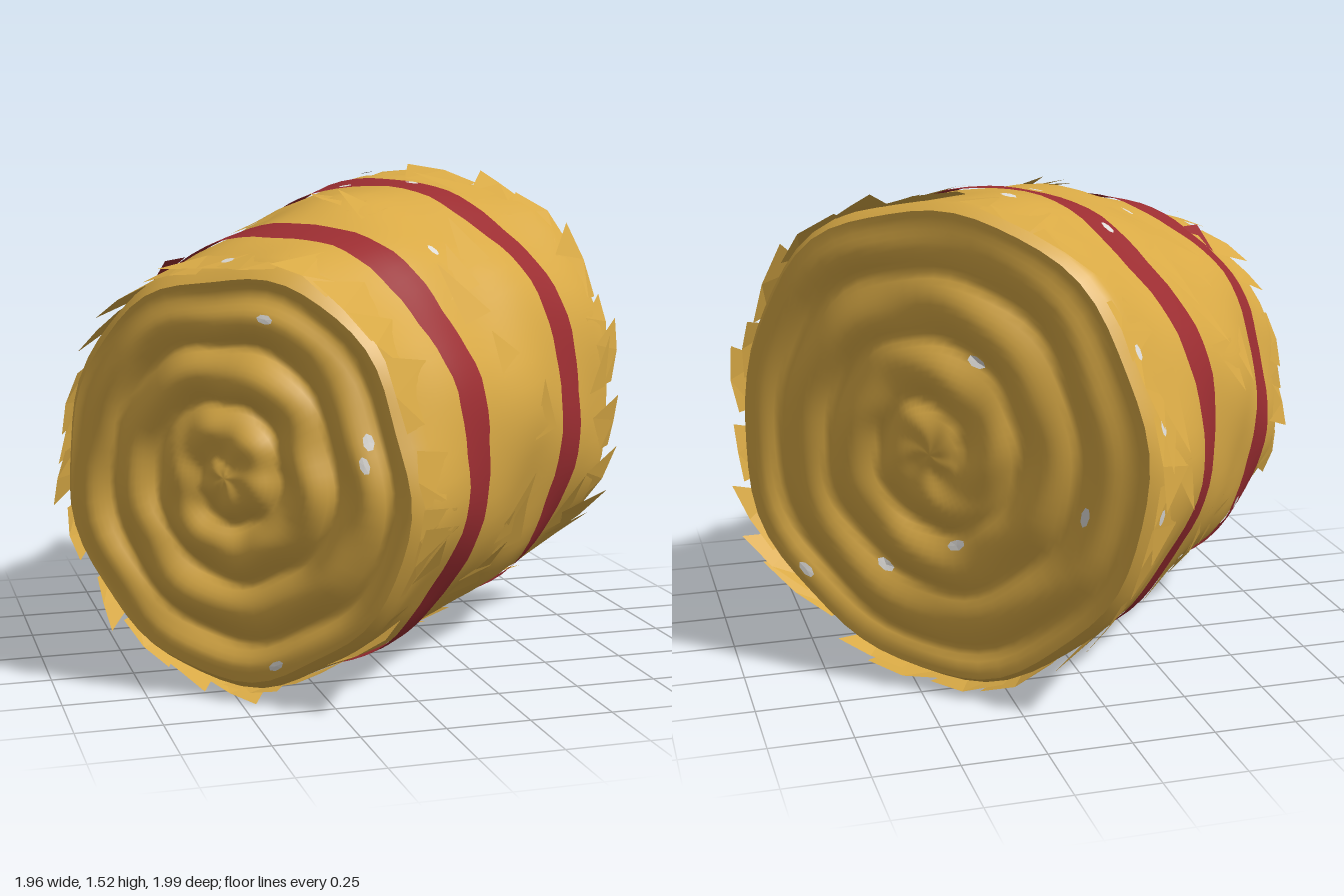
import * as THREE from 'three';
import { mergeVertices } from 'three/addons/utils/BufferGeometryUtils.js';

const TAU = Math.PI * 2;
const FRONT = 0.77, BACK = -0.68; // ends of the roll along its own z axis
const BANDS = [[0.365, 0.51], [-0.325, -0.175]];

let seed = 7;
const rand = () => (seed = (seed * 16807) % 2147483647) / 2147483647;
const between = (a, b) => a + (b - a) * rand();

// Point on the lumpy, slightly tapered roll
function onRoll(a, z, lift = 0) {
  const k = (FRONT - z) / (FRONT - BACK);
  const bulge = 0.02 * Math.sin(Math.PI * k);
  const wave = 0.008 * Math.sin(5 * a + 4 * z) + 0.006 * Math.sin(9 * a - 7 * z + 1) + 0.005 * Math.sin(4 * a + 13 * z);
  const wide = 0.585 + 0.112 * k + bulge + wave + lift;
  const tall = 0.618 + 0.115 * k + bulge + wave + lift;
  const middle = 0.655 + 0.115 * k + bulge;
  return new THREE.Vector3(wide * Math.cos(a), Math.max(0, middle + tall * Math.sin(a)), z);
}

// Same skin with its two edges rounded over
function roundedRoll(a, z) {
  const near = Math.max(0, 1 - Math.min(FRONT - z, z - BACK) / 0.07);
  return onRoll(a, z, -0.03 * near * near);
}

// Smooth surface from a rule; its front is the u cross v side
function surface(rule, nu, nv) {
  const pos = [], index = [];
  for (let i = 0; i <= nu; i++)
    for (let j = 0; j <= nv; j++) pos.push(...rule(i / nu, j / nv).toArray());
  for (let i = 0; i < nu; i++)
    for (let j = 0; j < nv; j++) {
      const a = i * (nv + 1) + j, b = a + nv + 1;
      index.push(a, b, b + 1, a, b + 1, a + 1);
    }
  let g = new THREE.BufferGeometry();
  g.setAttribute('position', new THREE.Float32BufferAttribute(pos, 3));
  g.setIndex(index);
  g = mergeVertices(g, 1e-5);
  g.computeVertexNormals();
  return g;
}

// Separate triangles from a list of corner points
function triangles(points) {
  const g = new THREE.BufferGeometry().setFromPoints(points);
  g.computeVertexNormals();
  return g;
}

// Gently domed end of the roll with a wound spiral of rounded layers
function spiralEnd(r, a, z, pitch, depth, dome) {
  const side = Math.sign(z);
  const centre = new THREE.Vector3(0, z > 0 ? 0.67 : 0.76, z);
  const turn = r * 0.66 / pitch - side * a / TAU;
  const fade = Math.min(1, (1 - r) * 8) * Math.min(1, r * 4);
  const ridge = Math.abs(Math.sin(Math.PI * turn)) - 1;
  const rough = 0.006 * Math.sin(5 * a + 17 * r);
  const p = centre.lerp(roundedRoll(a, z), r);
  p.z += side * (dome * (1 - r * r) + fade * (depth * ridge + rough));
  return p;
}
const frontEnd = (r, a) => spiralEnd(r, a, FRONT, 0.195, 0.05, 0.05);
const backEnd = (r, a) => spiralEnd(r, a, BACK, 0.18, 0.035, 0.035);

export function createModel() {
  const straw = new THREE.MeshStandardMaterial({ name: 'straw gold', color: 0xd8a945, side: THREE.DoubleSide });
  const red = new THREE.MeshStandardMaterial({ name: 'band red', color: 0x9b2d31, side: THREE.DoubleSide });
  const pale = new THREE.MeshStandardMaterial({ name: 'pale fleck', color: 0xdcdad6, side: THREE.DoubleSide });

  const model = new THREE.Group();
  model.name = 'strawRoll';
  const roll = new THREE.Group();
  roll.name = 'roll';
  roll.rotation.y = -0.722;
  model.add(roll);
  const add = (name, geometry, material) => {
    const m = new THREE.Mesh(geometry, material);
    m.name = name;
    roll.add(m);
  };

  // Rolled body and its two spiral ends
  add('body', surface((u, v) => roundedRoll(u * TAU, BACK + v * (FRONT - BACK)), 60, 48), straw);
  add('frontSpiral', surface((u, v) => frontEnd(u, v * TAU), 40, 60), straw);
  add('backSpiral', surface((u, v) => backEnd(v, u * TAU), 60, 40), straw);

  // Painted bands with ragged edges, leaning a little to the back underneath
  BANDS.forEach(([z0, z1], i) => {
    const shift = (a) => 0.003 * Math.sin(13 * a + i) + 0.003 * Math.sin(29 * a) - 0.05 * Math.max(0, -Math.sin(a)) ** 2;
    add(i ? 'backBand' : 'frontBand', surface((u, v) => onRoll(u * TAU, z0 + v * (z1 - z0) + shift(u * TAU), 0.007), 90, 6), red);
  });

  // Loose flap of the front band, with a straw gap beside it
  add('bandFlap', triangles([onRoll(2.3, 0.5, 0.01), onRoll(2.12, 0.56, 0.035), onRoll(2.1, 0.47, 0.012)]), red);
  add('bandGap', triangles([onRoll(2.26, 0.48, 0.012), onRoll(2.17, 0.44, 0.016), onRoll(2.18, 0.51, 0.016)]), straw);

  // Loose straw flakes lifting off the side, clear of the bands
  const flakes = [];
  while (flakes.length < 50 * 3) {
    const a = between(0, TAU), z = between(BACK + 0.14, FRONT - 0.14);
    const w = between(0.12, 0.22), skew = between(-0.1, 0.1);
    if (BANDS.some(([z0, z1]) => z > z0 - 0.16 && z < z1 + 0.11)) continue;
    flakes.push(onRoll(a, z - w / 2), onRoll(a + between(0.2, 0.34), z + skew, between(0.012, 0.028)), onRoll(a, z + w / 2));
  }
  add('sideFlakes', triangles(flakes), straw);

  // Overlapping ragged flaps around both rims
  for (const [name, end] of [['frontRimFlaps', FRONT], ['backRimFlaps', BACK]]) {
    const flaps = [], s = Math.sign(end), n = 24;
    for (let i = 0; i < n; i++) {
      const a = (i + between(-0.3, 0.3)) / n * TAU, w = between(0.24, 0.38);
      const tipLift = between(0.005, 0.035);
      const p = onRoll(a, end - s * between(0.08, 0.14));
      const q = onRoll(a + w * 0.7, end - s * between(0.14, 0.24));
      const r = onRoll(a + w, end + s * between(-0.02, 0.045), tipLift);
      const m = onRoll(a + w * 0.5, end + s * between(-0.01, 0.02), tipLift * 0.4);
      const t = onRoll(a, end - s * between(0.0, 0.03), -0.004);
      const fan = [p, q, m, q, r, m, p, m, t];
      flaps.push(...(s > 0 ? fan : fan.reverse()));
    }
    add(name, triangles(flaps), straw);
  }

  // Small pale flecks scattered over the side and the two ends
  const flecks = [];
  const fleck = (rule, sizeU, sizeV) => {
    for (let i = 0; i < 7; i++) {
      const rim = (k) => rule(sizeU * Math.cos(k * TAU / 7), sizeV * Math.sin(k * TAU / 7));
      flecks.push(rule(0, 0), rim(i), rim(i + 1));
    }
  };
  const sideSpots = [[1.79, -0.505], [2.1, -0.234], [1.7, -0.18], [1.41, -0.27], [1.94, 0.2], [1.63, 0.72], [0.96, 0.19],
    [2.65, -0.64], [2.95, -0.64], [3.3, -0.65], [3.65, 0.37]];
  for (const [a, z] of sideSpots) fleck((u, v) => onRoll(a + u, z + v, 0.012), 0.034, 0.019);
  const endSpots = [
    [frontEnd, 1, [[0.82, 1.3], [0.84, 0.3], [0.8, 0.17], [0.94, -1.29]]],
    [backEnd, -1, [[0.45, 2.05], [0.4, -1.85], [0.61, -1.12], [0.75, 3.4], [0.93, -0.75]]],
  ];
  for (const [end, s, spots] of endSpots)
    for (const [r, a] of spots)
      fleck((u, v) => end(r + v, a + u / r).add(new THREE.Vector3(0, 0, s * 0.008)), 0.045, 0.022);
  add('flecks', triangles(flecks), pale);

  return model;
}
